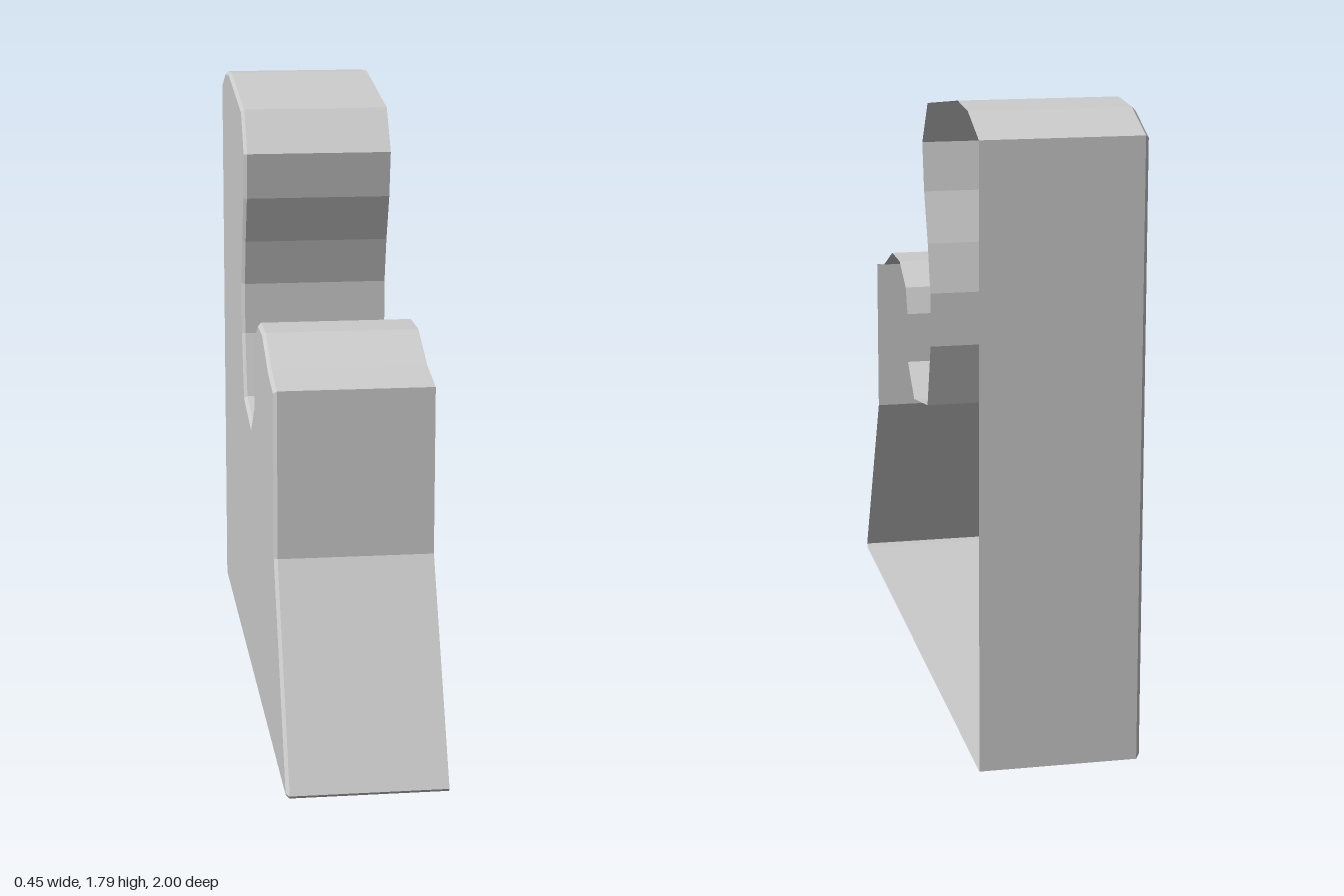
import * as THREE from 'three';

const HALF = 0.225;   // half width
const BEVEL = 0.01;   // chamfer around the closed side

// Side outline as [z, y], counter-clockwise from the toe
const OUTLINE = [
  [0.99, 0], [1, 0.01], [0.7, 0.59], [0.7, 1.07], [0.555, 1.097], [0.39, 1.167],
  [0.25, 1.167], [0.14, 1.107], [0.11, 1.03], [0.11, 0.88], [0, 0.79], [-0.23, 0.83],
  [-0.287, 1.02], [-0.287, 1.177], [-0.25, 1.317], [-0.195, 1.46], [-0.17, 1.6],
  [-0.26, 1.725], [-0.715, 1.79], [-0.855, 1.78], [-1, 1.725], [-1, 0],
].map(([z, y]) => new THREE.Vector2(z, y));

// Move every edge of the outline inward by d, with mitred corners
function inset(points, d) {
  const n = points.length;
  const normal = (a, b) => new THREE.Vector2(a.y - b.y, b.x - a.x).normalize();
  return points.map((p, i) => {
    const n1 = normal(points[(i + n - 1) % n], p);
    const n2 = normal(p, points[(i + 1) % n]);
    return p.clone().addScaledVector(n1.clone().add(n2), d / (1 + n1.dot(n2)));
  });
}

// Faceted strip joining two matching rings, from xA down to xB
function band(ringA, xA, ringB, xB) {
  const pos = [];
  ringA.forEach((a, i) => {
    const j = (i + 1) % ringA.length;
    const a2 = ringA[j], b = ringB[i], b2 = ringB[j];
    pos.push(xA, a.y, a.x, xA, a2.y, a2.x, xB, b2.y, b2.x);
    pos.push(xA, a.y, a.x, xB, b2.y, b2.x, xB, b.y, b.x);
  });
  const geometry = new THREE.BufferGeometry();
  geometry.setAttribute('position', new THREE.Float32BufferAttribute(pos, 3));
  geometry.computeVertexNormals();
  return geometry;
}

export function createModel() {
  const group = new THREE.Group();
  group.name = 'openBracketShell';
  const material = new THREE.MeshStandardMaterial({
    color: 0xcccccc, flatShading: true, side: THREE.DoubleSide,
  });
  const add = (name, geometry) => {
    const mesh = new THREE.Mesh(geometry, material);
    mesh.name = name;
    group.add(mesh);
  };
  const inner = inset(OUTLINE, BEVEL);

  // Thin wall all round, open on the +x side
  add('rimWall', band(OUTLINE, HALF, OUTLINE, -HALF + BEVEL));

  // Chamfer leading to the closed side
  add('bevelEdge', band(OUTLINE, -HALF + BEVEL, inner, -HALF));

  // Closed side panel
  const panel = new THREE.ShapeGeometry(new THREE.Shape(inner));
  panel.rotateY(-Math.PI / 2).translate(-HALF, 0, 0);
  add('sidePanel', panel);

  return group;
}
